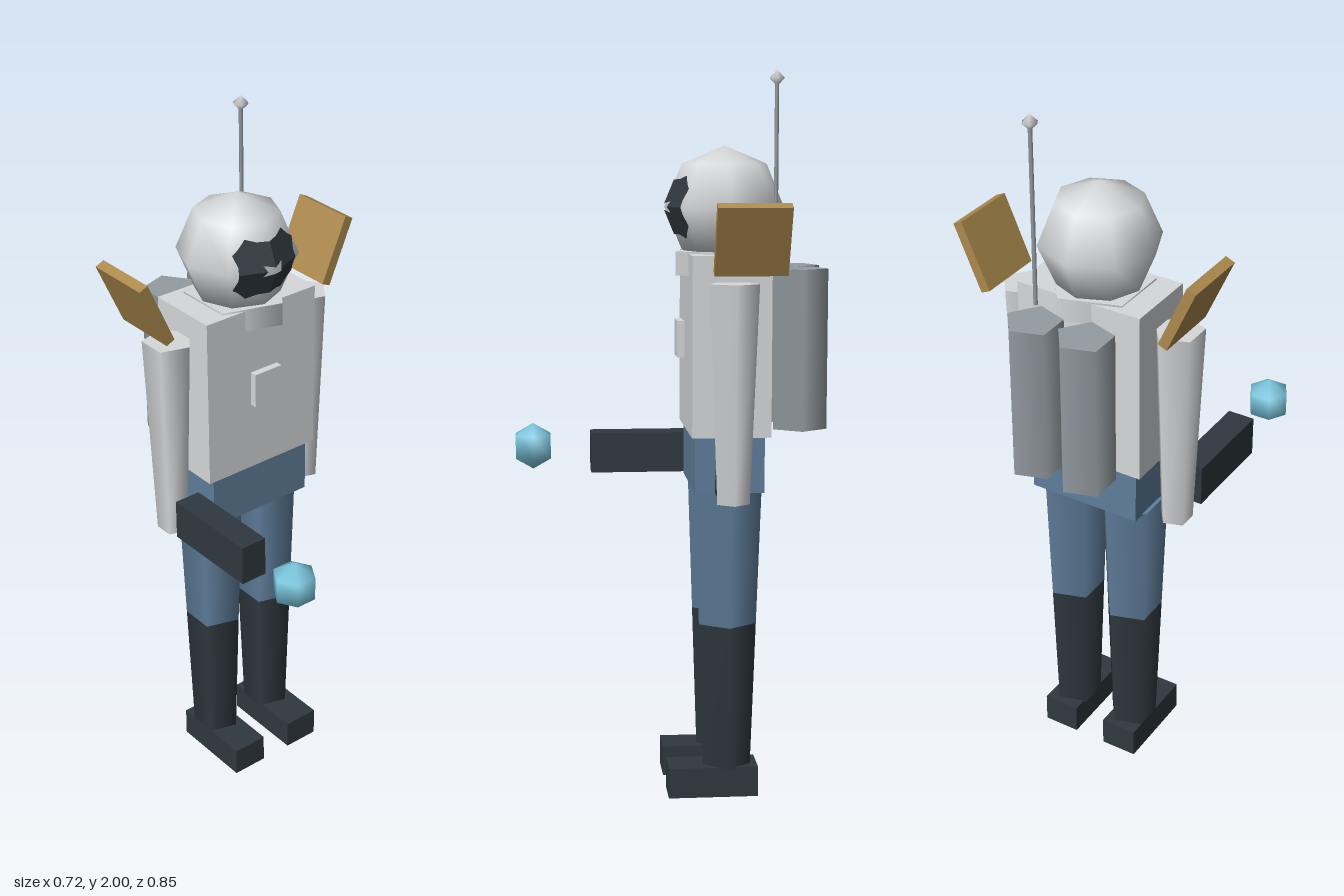
import * as THREE from 'three';

const paint = (name, color) => {
  const m = new THREE.MeshStandardMaterial({ color });
  m.name = name;
  return m;
};

export function createModel() {
  const white = paint('suitWhite', 0xd6d8da);
  const blue = paint('trouserBlue', 0x5f7e9b);
  const dark = paint('charcoal', 0x2f383f);
  const grey = paint('tankGrey', 0x949ca2);
  const gold = paint('panelGold', 0xac8a4e);
  const cyan = paint('glowCyan', 0x7cc8e0);

  const model = new THREE.Group();
  model.name = 'spaceman';
  const Z = -0.155; // body centre line

  const add = (name, geometry, material, x, y, z) => {
    const mesh = new THREE.Mesh(geometry, material);
    mesh.name = name;
    mesh.position.set(x, y, z);
    model.add(mesh);
    return mesh;
  };
  // box from its lower to its upper corner
  const box = (name, mat, [x0, y0, z0], [x1, y1, z1]) =>
    add(name, new THREE.BoxGeometry(x1 - x0, y1 - y0, z1 - z0), mat,
      (x0 + x1) / 2, (y0 + y1) / 2, (z0 + z1) / 2);
  // five-sided upright column with one corner towards +x
  const column = (name, mat, rTop, rBottom, x, y0, y1, z = Z) =>
    add(name, new THREE.CylinderGeometry(rTop, rBottom, y1 - y0, 5, 1, false, Math.PI / 2), mat,
      x, (y0 + y1) / 2, z);

  // Body
  box('torso', white, [-0.185, 1.02, -0.265], [0.185, 1.51, -0.05]);
  box('pelvis', blue, [-0.165, 0.865, -0.25], [0.165, 1.02, -0.06]);
  box('chestUnit', white, [-0.045, 1.225, -0.042], [0.045, 1.325, -0.022]);
  column('collar', white, 0.145, 0.145, 0, 1.45, 1.515);

  // Limbs, tanks and shoulder panels
  for (const s of [-1, 1]) {
    const side = s > 0 ? 'left' : 'right';
    column(side + 'Thigh', blue, 0.097, 0.0835, s * 0.097, 0.49, 0.87);
    column(side + 'Shin', dark, 0.0835, 0.069, s * 0.097, 0.08, 0.49);
    box(side + 'Boot', dark, [s * 0.1 - 0.053, 0, -0.24], [s * 0.1 + 0.053, 0.085, 0.01]);
    column(side + 'Arm', white, 0.07, 0.046, s * 0.235, 0.85, 1.44);
    column(side + 'Tank', grey, 0.078, 0.078, s * 0.077, 1.03, 1.47, -0.355);
    add(side + 'Panel', new THREE.BoxGeometry(0.028, 0.197, 0.195), gold, s * 0.307, 1.558, -0.196)
      .rotation.z = -s * 0.415;
  }

  // Helmet
  const headY = 1.635;
  add('helmet', new THREE.SphereGeometry(0.165, 8, 4), white, 0, headY, Z);

  // Visor: one quarter laid on the front facets, mirrored to four
  const outline = [[0, 0.009], [0, 0.074], [0.032, 0.075], [0.06, 0.085], [0.083, 0.062],
    [0.1, 0.05], [0.092, 0.02], [0.095, 0], [0.022, 0], [0.03, 0.016]];
  const quarter = new THREE.ShapeGeometry(
    new THREE.Shape(outline.map(([x, y]) => new THREE.Vector2(x, y))));
  const p = quarter.attributes.position;
  for (let i = 0; i < p.count; i++) p.setZ(i, 0.014 - 0.414 * (p.getX(i) + p.getY(i)));
  quarter.computeVertexNormals();
  for (const sx of [-1, 1]) for (const sy of [-1, 1]) {
    add('visor', quarter, dark, 0, headY, 0).scale.set(sx, sy, 1);
  }

  // Antenna
  add('antennaRod', new THREE.CylinderGeometry(0.006, 0.006, 0.51, 5), grey, 0.118, 1.725, -0.282);
  add('antennaTip', new THREE.SphereGeometry(0.022, 6, 2), white, 0.118, 1.978, -0.282);

  // Hand tool with its glowing shot, and the hip pouch
  box('handTool', dark, [-0.275, 0.865, -0.088], [-0.197, 0.98, 0.205]);
  add('glowBall', new THREE.SphereGeometry(0.067, 6, 3), cyan, -0.235, 0.94, 0.372);
  box('hipPouch', dark, [0.15, 0.865, -0.195], [0.197, 0.93, -0.115]);

  return model;
}
